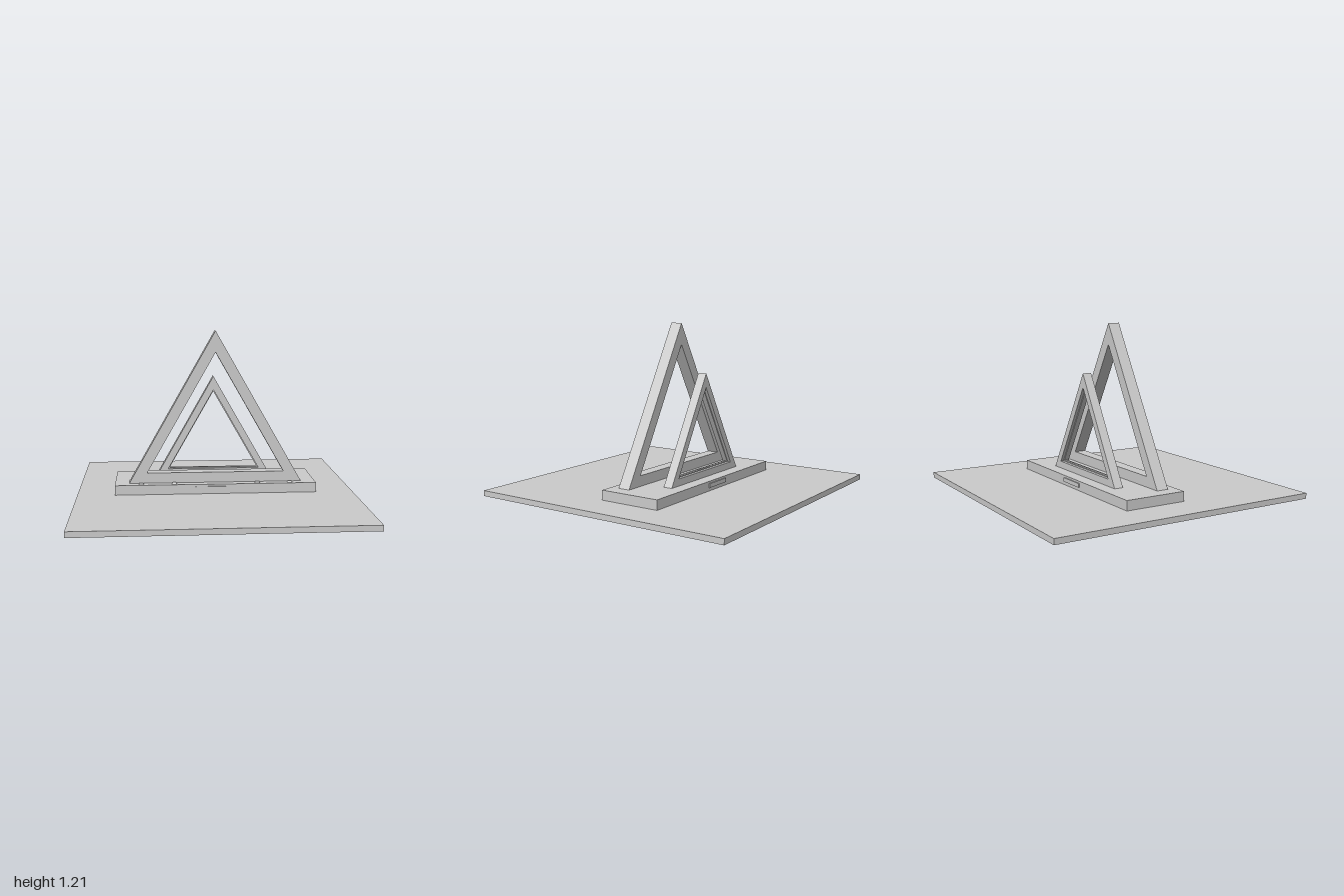
import * as THREE from 'three';
import { RoundedBoxGeometry } from 'three/addons/geometries/RoundedBoxGeometry.js';

export function createModel() {
  const model = new THREE.Group();
  const grey = new THREE.MeshStandardMaterial({ color: 0xcccccc, side: THREE.DoubleSide });
  grey.name = 'lightGrey';

  function add(name, geometry, x, y, z) {
    const mesh = new THREE.Mesh(geometry, grey);
    mesh.name = name;
    mesh.position.set(x, y, z);
    model.add(mesh);
    return mesh;
  }

  // Triangle corners, counter-clockwise
  const triangle = (half, bottom, top) => [
    new THREE.Vector2(-half, bottom),
    new THREE.Vector2(half, bottom),
    new THREE.Vector2(0, top),
  ];

  // Upright triangular frame with a triangular opening
  function frame(name, outer, inner, backZ, depth) {
    const shape = new THREE.Shape(triangle(...outer));
    shape.holes.push(new THREE.Path(triangle(...inner).reverse()));
    const geometry = new THREE.ExtrudeGeometry(shape, { depth, bevelEnabled: false });
    return add(name, geometry, 0, 0, backZ);
  }

  // Ground cover: a top sheet with four thin skirts, open underneath
  const top = new THREE.PlaneGeometry(2, 2).rotateX(-Math.PI / 2);
  add('groundTop', top, 0, 0.04, 0);
  for (let i = 0; i < 4; i++) {
    const skirt = new THREE.PlaneGeometry(2, 0.04).translate(0, 0, 1).rotateY((i * Math.PI) / 2);
    add('groundSkirt', skirt, 0, 0.02, 0);
  }

  // Raised plinth
  add('plinth', new THREE.BoxGeometry(1.46, 0.07, 0.46), 0, 0.075, -0.095);

  // Large front frame, small rear frame and its thin inner lip
  frame('largeFrame', [0.628, 0.11, 1.214], [0.498, 0.185, 1.06], -0.016, 0.089);
  frame('smallFrame', [0.428, 0.11, 0.862], [0.342, 0.161, 0.76], -0.229, 0.067);
  frame('innerLip', [0.342, 0.161, 0.76], [0.33, 0.168, 0.746], -0.206, 0.02);

  // Small rounded lamps half sunk into the plinth
  for (const x of [-0.54, -0.302, 0.302, 0.54]) {
    add('groundLamp', new RoundedBoxGeometry(0.037, 0.026, 0.028, 4, 0.01), x, 0.108, 0.107);
  }

  // Plain nameplates on the plinth's front and back
  add('frontPlate', new THREE.BoxGeometry(0.3, 0.03, 0.009), 0, 0.08, 0.1395);
  add('rearPlate', new THREE.BoxGeometry(0.22, 0.03, 0.009), 0, 0.08, -0.3295);

  return model;
}
